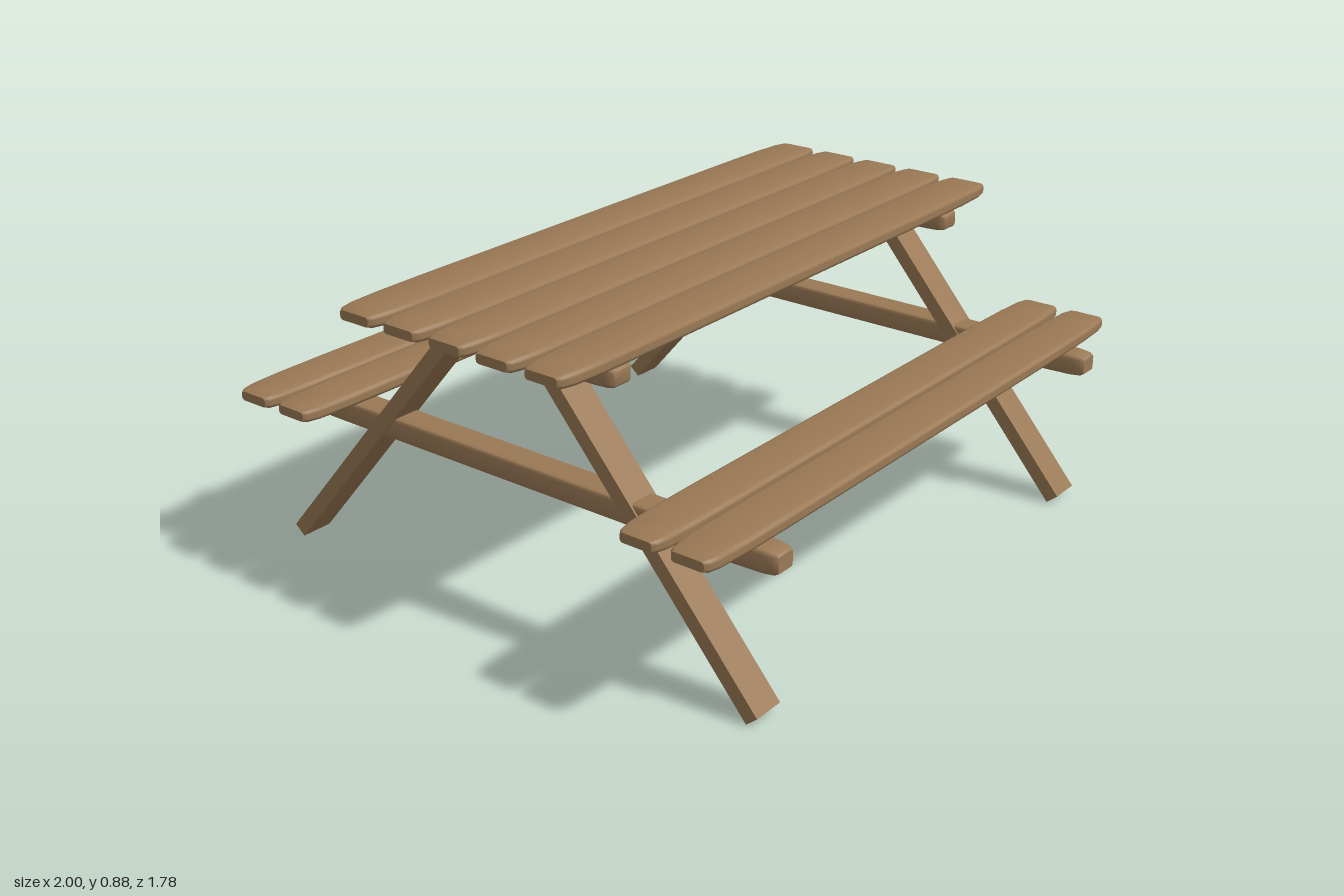
import * as THREE from 'three';
import { toCreasedNormals } from 'three/addons/utils/BufferGeometryUtils.js';

// Rounded rectangle cross-section in (y, z), scaled per station
function section(h, w, r) {
  const pts = [];
  const corners = [[1, 1], [-1, 1], [-1, -1], [1, -1]];
  corners.forEach(([sy, sz], c) => {
    for (let k = 0; k <= 3; k++) {
      const a = c * Math.PI / 2 + k * Math.PI / 6;
      pts.push([sy * (h / 2 - r) + r * Math.cos(a), sz * (w / 2 - r) + r * Math.sin(a)]);
    }
  });
  return pts;
}

// Board along x whose ends narrow softly: [distance from end, width scale, height scale]
const TAPER = [[0, 0.68, 0.68], [0.012, 0.8, 0.86], [0.05, 0.91, 0.94], [0.15, 0.98, 0.98], [0.3, 1, 1]];

function boardGeometry(length, h, w, r) {
  const half = length / 2;
  const stations = [
    ...TAPER.map(([d, sw, sh]) => [-half + d * half, sw, sh]),
    ...TAPER.slice().reverse().map(([d, sw, sh]) => [half - d * half, sw, sh]),
  ];
  const ring = section(h, w, r);
  const n = ring.length;
  const pos = [];
  const idx = [];
  for (const [x, sw, sh] of stations) for (const [y, z] of ring) pos.push(x, y * sh, z * sw);
  for (let j = 0; j < stations.length - 1; j++) {
    for (let i = 0; i < n; i++) {
      const a = j * n + i, b = j * n + (i + 1) % n;
      idx.push(a, b, b + n, a, b + n, a + n);
    }
  }
  // end caps
  const last = (stations.length - 1) * n;
  for (let i = 1; i < n - 1; i++) {
    idx.push(0, i + 1, i);
    idx.push(last, last + i, last + i + 1);
  }
  const g = new THREE.BufferGeometry();
  g.setAttribute('position', new THREE.Float32BufferAttribute(pos, 3));
  g.setIndex(idx);
  return toCreasedNormals(g, 0.7);
}

export function createModel() {
  const model = new THREE.Group();
  model.name = 'picnicTable';
  const wood = new THREE.MeshStandardMaterial({ color: 0x9a7955 });
  wood.name = 'wood';

  const add = (name, geometry, x, y, z) => {
    const mesh = new THREE.Mesh(geometry, wood);
    mesh.name = name;
    mesh.position.set(x, y, z);
    model.add(mesh);
    return mesh;
  };

  // Table top: five planks
  const topPlank = boardGeometry(2, 0.04, 0.152, 0.013);
  for (let i = -2; i <= 2; i++) add('tablePlank', topPlank, 0, 0.86, i * 0.162);

  // Benches: two planks on each side
  const seatPlank = boardGeometry(2, 0.04, 0.143, 0.013);
  for (const s of [-1, 1]) {
    for (const z of [0.611, 0.767]) add('seatPlank', seatPlank, 0, 0.515, s * z);
  }

  // Trestles: table beam, seat beam and two splayed legs
  const tableBeam = boardGeometry(0.785, 0.056, 0.086, 0.009);
  const seatBeam = boardGeometry(1.78, 0.066, 0.086, 0.009);
  const foot = new THREE.Vector2(0.832, 0.016);
  const head = new THREE.Vector2(0.138, 0.822);
  const legGeometry = new THREE.BoxGeometry(0.098, foot.distanceTo(head), 0.044);
  const tilt = Math.atan2(foot.x - head.x, head.y - foot.y);
  for (const side of [-1, 1]) {
    const x = side * 0.778;
    add('tableBeam', tableBeam, x, 0.812, 0).rotation.y = Math.PI / 2;
    add('seatBeam', seatBeam, x, 0.462, 0).rotation.y = Math.PI / 2;
    for (const s of [-1, 1]) {
      const leg = add('leg', legGeometry, x, (foot.y + head.y) / 2, s * (foot.x + head.x) / 2);
      leg.rotation.x = -s * tilt;
    }
  }
  return model;
}
